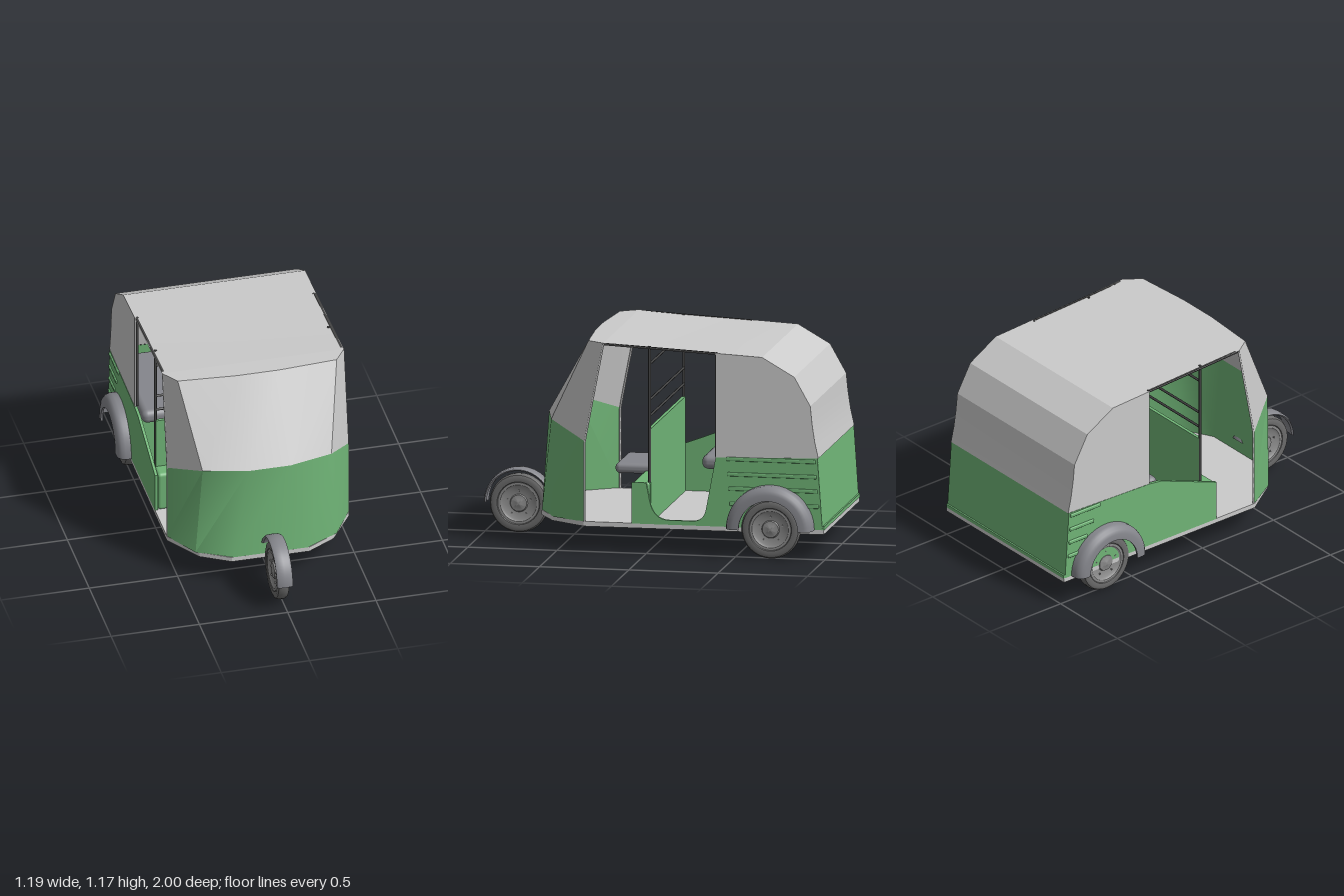
import * as THREE from 'three';
import { toCreasedNormals } from 'three/addons/utils/BufferGeometryUtils.js';
import { RoundedBoxGeometry } from 'three/addons/geometries/RoundedBoxGeometry.js';

const mat = (color) => new THREE.MeshStandardMaterial({ color, side: THREE.DoubleSide });
const grey = mat(0xcccccc), green = mat(0x70b577), fenderGrey = mat(0x85868c);
const tyreGrey = mat(0x6c6c6c), rimGrey = mat(0x8c8c8c), dark = mat(0x444444);

export function createModel() {
  const model = new THREE.Group();
  const body = new THREE.Group();
  body.name = 'body';
  body.position.x = -0.008;
  model.add(body);

  const add = (parent, name, geometry, material, x = 0, y = 0, z = 0) => {
    const mesh = new THREE.Mesh(geometry, material);
    mesh.name = name;
    mesh.position.set(x, y, z);
    parent.add(mesh);
    return mesh;
  };

  // Surface through rows of points; every row has the same number of points
  const loft = (rows, crease) => {
    const n = rows[0].length, index = [];
    for (let r = 0; r < rows.length - 1; r++) {
      for (let i = 0; i < n - 1; i++) {
        const a = r * n + i, b = a + n;
        index.push(a, a + 1, b + 1, a, b + 1, b);
      }
    }
    const g = new THREE.BufferGeometry();
    g.setAttribute('position', new THREE.Float32BufferAttribute(rows.flat(2), 3));
    g.setIndex(index);
    return toCreasedNormals(g, crease);
  };

  // Upright plate drawn in (z, y), centred on the given x
  const plate = (name, shape, x, thick, material) => {
    const g = new THREE.ExtrudeGeometry(shape, { depth: thick, bevelEnabled: false, curveSegments: 8 });
    g.translate(0, 0, -thick / 2).rotateY(-Math.PI / 2);
    return add(body, name, g, material, x);
  };
  const polygon = (pts) => new THREE.Shape(pts.map((p) => new THREE.Vector2(...p)));

  // Floor pan, drawn in (x, -z)
  const floor = new THREE.ExtrudeGeometry(polygon([
    [-0.515, 0.995], [-0.515, -0.35], [-0.38, -0.55], [-0.22, -0.642],
    [0.22, -0.642], [0.38, -0.55], [0.515, -0.35], [0.515, 0.995],
  ]), { depth: 0.027, bevelEnabled: false });
  add(body, 'floor', floor.rotateX(-Math.PI / 2), grey, 0, 0.145);

  // Front shell: mirrored rows from left to right
  const row = (half) => [...half.map(([x, y, z]) => [-x, y, z]), ...[...half].reverse()];
  const cowlBottom = row([[0.515, 0.17, 0.345], [0.4, 0.17, 0.54], [0.21, 0.17, 0.642]]);
  const cowlTop = row([[0.515, 0.62, 0.345], [0.365, 0.71, 0.56], [0.12, 0.71, 0.62]]);
  const screenTop = row([[0.515, 1.172, 0.24], [0.45, 1.172, 0.335], [0.12, 1.172, 0.36]]);
  add(body, 'frontPanel', loft([cowlBottom, cowlTop], 0.75), green);
  add(body, 'windscreen', loft([cowlTop, screenTop], 0.3), grey);

  // Roof, running on down the back as canvas
  add(body, 'roofFront', loft([screenTop.slice(0, 3), [...screenTop].reverse().slice(0, 3)], 0.3), grey);
  const roofLine = [[0.24, 1.172], [0, 1.157], [-0.39, 1.138], [-0.65, 1.124], [-0.83, 1.02],
    [-0.92, 0.86], [-0.93, 0.76], [-0.945, 0.66], [-0.965, 0.57]];
  add(body, 'roof', loft(roofLine.map(([z, y]) => [[0.515, y, z], [-0.515, y, z]]), 0.3), grey);

  for (const s of [-1, 1]) {
    // Canvas side of the passenger cabin
    plate('canvasSide', polygon([[-0.39, 0.555], ...roofLine.slice(2)]), s * 0.508, 0.012, grey);
    // Trim along the rear edge of the front shell
    const edge = new THREE.CurvePath();
    const pts = [[0.17, 0.345], [0.62, 0.345], [1.17, 0.24]].map(([y, z]) => new THREE.Vector3(s * 0.51, y, z));
    edge.add(new THREE.LineCurve3(pts[0], pts[1]));
    edge.add(new THREE.LineCurve3(pts[1], pts[2]));
    add(body, 'doorTrim', new THREE.TubeGeometry(edge, 16, 0.006, 6), grey);
    // Roof posts
    add(body, 'middlePost', new THREE.CylinderGeometry(0.008, 0.008, 0.76, 8), dark, s * 0.49, 0.78, -0.015);
    add(body, 'rearPost', new THREE.CylinderGeometry(0.007, 0.007, 0.58, 8), dark, s * 0.5, 0.85, -0.39);
    add(body, 'roofRail', new THREE.BoxGeometry(0.012, 0.012, 0.63), dark, s * 0.505, 1.15, -0.075)
      .rotation.x = -0.05;
  }

  // Green sides: closed on the right, a rounded doorway on the left
  const rearEdge = [[-0.39, 0.555], [-0.96, 0.57], [-0.988, 0.17]];
  plate('rightSidePanel', polygon([[0.08, 0.17], [0.08, 0.4], [-0.31, 0.545], ...rearEdge]), -0.508, 0.016, green);
  const left = new THREE.Shape();
  left.moveTo(0.08, 0.17);
  left.lineTo(0.08, 0.4);
  left.lineTo(0, 0.4);
  left.lineTo(-0.02, 0.3);
  left.quadraticCurveTo(-0.04, 0.195, -0.13, 0.195);
  left.lineTo(-0.26, 0.195);
  left.quadraticCurveTo(-0.32, 0.195, -0.335, 0.26);
  rearEdge.forEach((p) => left.lineTo(...p));
  plate('leftSidePanel', left, 0.508, 0.016, green);

  // Back panel
  add(body, 'backPanel', loft([
    [[0.515, 0.57, -0.963], [-0.515, 0.57, -0.963]],
    [[0.515, 0.17, -0.99], [-0.515, 0.17, -0.99]],
  ], 0.3), green);
  add(body, 'rearLip', new THREE.BoxGeometry(1.03, 0.02, 0.02), green, 0, 0.18, -0.988);

  // Pressed ribs on the rear quarters
  [0.55, 0.465, 0.385, 0.3].forEach((y, i) => {
    const back = -0.95 - i * 0.006;
    [[-1, 0.21 - i * 0.04], [1, 0.5]].forEach(([s, length]) => {
      add(body, 'sideRib', new RoundedBoxGeometry(0.014, 0.022, length, 2, 0.006), green,
        s * 0.517, y, back + length / 2);
    });
  });

  // Partition behind the driver with open bars above
  add(body, 'partition', new THREE.BoxGeometry(0.98, 0.53, 0.018), green, 0, 0.435, -0.015);
  for (const y of [0.77, 0.86, 1.06]) {
    add(body, 'partitionBar', new THREE.CylinderGeometry(0.007, 0.007, 0.98, 8).rotateZ(Math.PI / 2),
      dark, 0, y, -0.015);
  }

  // Seats
  add(body, 'driverSeatBase', new RoundedBoxGeometry(1, 0.235, 0.1, 3, 0.02), green, 0, 0.285, 0.03);
  add(body, 'driverSeat', new RoundedBoxGeometry(0.36, 0.058, 0.26, 4, 0.025), fenderGrey, 0, 0.412, 0.11);
  add(body, 'passengerSeatBase', new THREE.BoxGeometry(0.98, 0.31, 0.55), green, 0, 0.325, -0.66);
  add(body, 'passengerSeat', new RoundedBoxGeometry(0.98, 0.08, 0.62, 4, 0.035), fenderGrey, 0, 0.52, -0.615);

  // Wheels: closed profiles (radius, half width) spun about the axle
  const spin = (half, segments = 40, start = 0, sweep = Math.PI * 2) => {
    const pts = half.map(([r, w]) => new THREE.Vector2(r, w));
    return toCreasedNormals(new THREE.LatheGeometry(pts, segments, start, sweep), 0.6).rotateZ(-Math.PI / 2);
  };
  const mirrored = (half) => [...half.map(([r, w]) => [r, -w]), ...[...half].reverse()];
  const addWheel = (name, x, z) => {
    const wheel = new THREE.Group();
    wheel.name = name;
    wheel.position.set(x, 0.167, z);
    model.add(wheel);
    add(wheel, 'tyre', spin(mirrored([[0.112, 0.022], [0.12, 0.032], [0.14, 0.035], [0.156, 0.029], [0.164, 0.014]])), tyreGrey);
    add(wheel, 'rim', spin(mirrored([[0, 0.034], [0.012, 0.033], [0.022, 0.028], [0.045, 0.026], [0.05, 0.018],
      [0.09, 0.021], [0.102, 0.03], [0.116, 0.03]])), rimGrey);
    for (const s of [-1, 1]) for (let k = 0; k < 5; k++) {
      const a = (k / 5) * Math.PI * 2;
      add(wheel, 'wheelNut', new THREE.CylinderGeometry(0.005, 0.005, 0.008, 6).rotateZ(Math.PI / 2), rimGrey,
        s * 0.022, 0.07 * Math.cos(a), 0.07 * Math.sin(a));
    }
  };
  addWheel('frontWheel', -0.012, 0.81);

  for (const s of [-1, 1]) {
    addWheel('rearWheel', s * 0.5, -0.7);
    // Rear fender: half a turn over the wheel
    const arch = spin([[0.243, 0], [0.243, 0.055], [0.236, 0.075], [0.222, 0.09], [0.2, 0.097],
      [0.166, 0.097], [0.166, 0.085]], 28, Math.PI, Math.PI);
    // Lathe sweeps the -x side, which the spin lifts to +y
    const fender = add(model, 'rearFender', arch, fenderGrey, s * 0.5, 0.17, -0.7);
    fender.scale.x = s;
  }

  // Front fender: thin band from the nose of the wheel to the body
  const band = [[0.178, -0.035], [0.186, -0.045], [0.194, -0.032], [0.196, 0], [0.194, 0.032],
    [0.186, 0.045], [0.178, 0.035], [0.184, 0], [0.178, -0.035]];
  const bandMesh = add(model, 'frontFender', spin(band, 28, Math.PI, Math.PI * 0.87), fenderGrey, -0.014, 0.17, 0.81);
  // Start the band at the front
  const probe = bandMesh.geometry.attributes.position;
  if (probe.getZ(0) < 0) bandMesh.geometry.rotateX(0);
  bandMesh.rotation.x = 0;
  bandMesh.geometry.computeBoundingBox();
  if (bandMesh.geometry.boundingBox.max.z < 0.19) bandMesh.scale.z = -1;

  return model;
}
